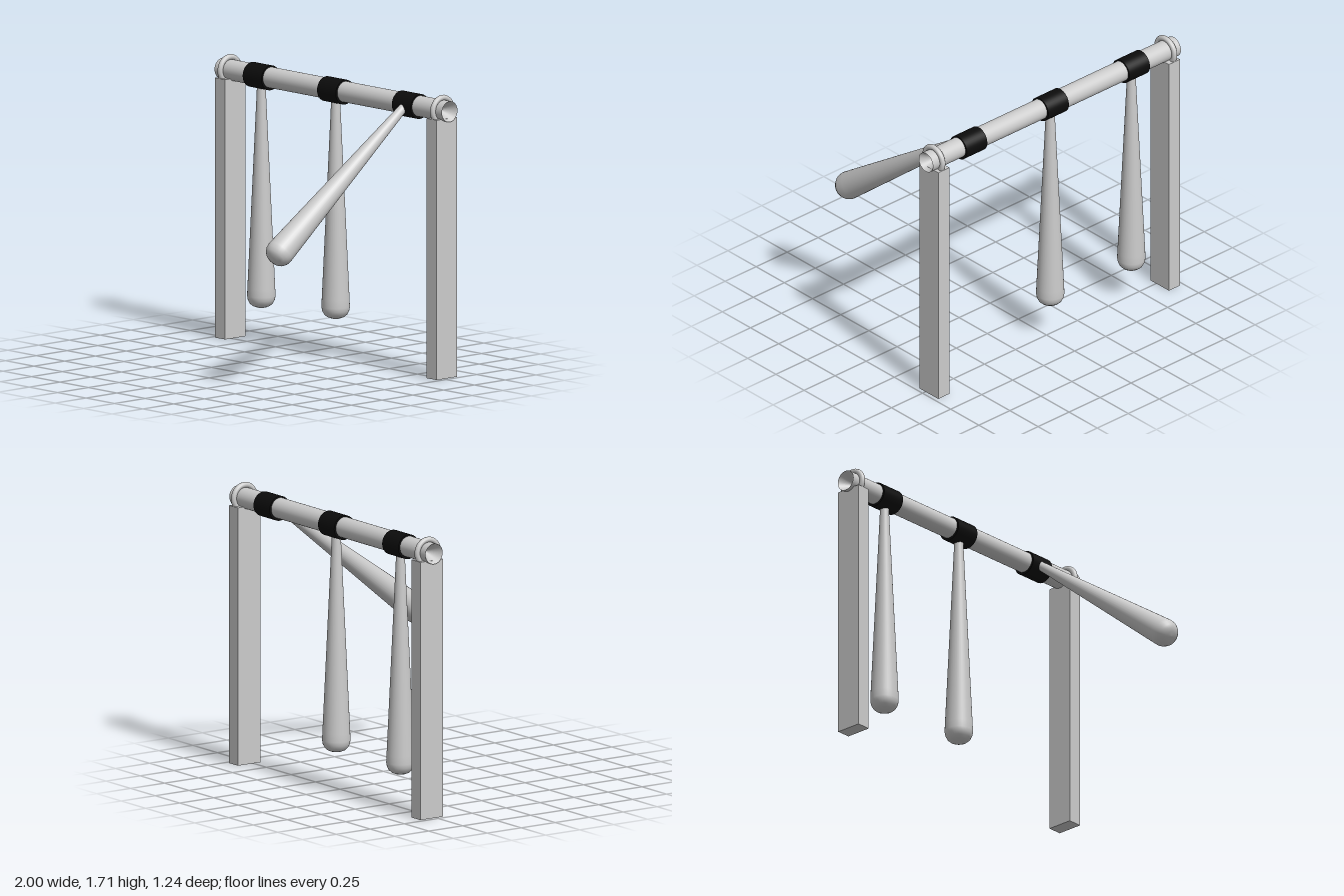
import * as THREE from 'three';

const BEAM_Y = 1.62, BEAM_Z = -0.53, BEAM_R = 0.063;

export function createModel() {
  const model = new THREE.Group();
  const grey = new THREE.MeshStandardMaterial({ color: 0xcccccc });
  const greyOpen = new THREE.MeshStandardMaterial({ color: 0xcccccc, side: THREE.DoubleSide });
  const black = new THREE.MeshStandardMaterial({ color: 0x0c0c0c });

  function add(name, geometry, material, x, y, z) {
    const mesh = new THREE.Mesh(geometry, material);
    mesh.name = name;
    mesh.position.set(x, y, z);
    model.add(mesh);
    return mesh;
  }

  // Horizontal beam
  const beam = new THREE.CylinderGeometry(BEAM_R, BEAM_R, 2, 32, 1, true).rotateZ(Math.PI / 2);
  add('beam', beam, greyOpen, 0, BEAM_Y, BEAM_Z);

  for (const side of [-1, 1]) {
    // Conical recess in each beam end
    const depth = 0.1;
    const recess = new THREE.ConeGeometry(BEAM_R, depth, 32, 1, true).rotateZ(side * Math.PI / 2);
    add('beamEndRecess', recess, greyOpen, side * (1 - depth / 2), BEAM_Y, BEAM_Z);

    // Square post, with a ring on top that holds the beam
    add('post', new THREE.BoxGeometry(0.09, 1.575, 0.165), grey, side * 0.93, 1.575 / 2, BEAM_Z);
    const ring = new THREE.TorusGeometry(0.077, 0.017, 12, 40).rotateY(Math.PI / 2);
    add('beamRing', ring, grey, side * 0.935, BEAM_Y, BEAM_Z);
  }

  // Tapered club with a rounded tip, hanging down from its pivot
  const profile = [
    [0, -1.4], [0.03, -1.398], [0.053, -1.389], [0.07, -1.374], [0.081, -1.352],
    [0.085, -1.328], [0.083, -1.28], [0.027, -0.08], [0.024, 0], [0, 0.005],
  ].map(([r, y]) => new THREE.Vector2(r, y));
  const clubGeometry = new THREE.LatheGeometry(profile, 32);

  // The three clubs, one of them swung forward, each under a black sleeve
  const clubs = [
    { x: -0.657, pivotY: 1.615, swing: 0 },
    { x: -0.003, pivotY: 1.635, swing: 0 },
    { x: 0.655, pivotY: 1.65, swing: -THREE.MathUtils.degToRad(53) },
  ];
  for (const { x, pivotY, swing } of clubs) {
    const club = add('club', clubGeometry, grey, x, pivotY, BEAM_Z);
    club.rotation.x = swing;
    const sleeve = new THREE.CylinderGeometry(0.075, 0.075, 0.165, 40).rotateZ(Math.PI / 2);
    add('sleeve', sleeve, black, x, BEAM_Y - 0.003, BEAM_Z);
  }

  return model;
}
